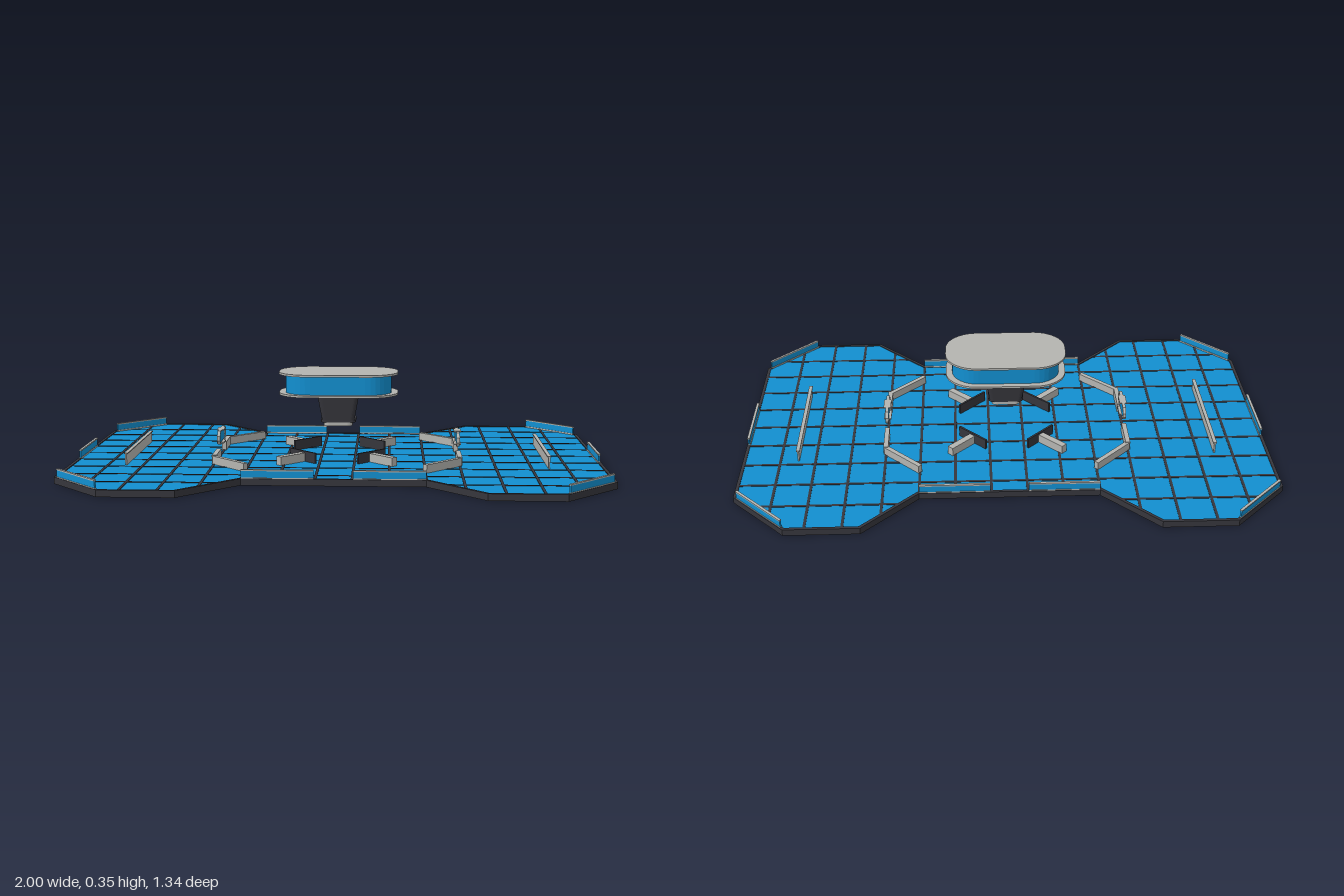
import * as THREE from 'three';

const mat = (name, color) => Object.assign(new THREE.MeshStandardMaterial({ color }), { name });

export function createModel() {
  const root = new THREE.Group();
  root.name = 'arena';
  const blue = mat('blue', 0x128fd0);
  const dark = mat('charcoal', 0x36363c);
  const grey = mat('grey', 0xb4b4b0);

  const add = (name, geo, material, parent = root) => {
    const mesh = new THREE.Mesh(geo, material);
    mesh.name = name;
    parent.add(mesh);
    return mesh;
  };
  // Upright beam between two floor points
  const beam = (name, [x1, z1], [x2, z2], y0, y1, width, material, parent = root) => {
    const dx = x2 - x1, dz = z2 - z1;
    const m = add(name, new THREE.BoxGeometry(Math.hypot(dx, dz), y1 - y0, width), material, parent);
    m.position.set((x1 + x2) / 2, (y0 + y1) / 2, (z1 + z2) / 2);
    m.rotation.y = -Math.atan2(dz, dx);
    return m;
  };
  // Horizontal slab from a shape
  const slab = (shape, y0, y1, curveSegments = 10) =>
    new THREE.ExtrudeGeometry(shape, { depth: y1 - y0, bevelEnabled: false, curveSegments })
      .rotateX(-Math.PI / 2).translate(0, y0, 0);
  const roundRect = (w, h, r) => {
    const s = new THREE.Shape();
    s.moveTo(w - r, -h);
    s.absarc(w - r, -h + r, r, -Math.PI / 2, 0);
    s.absarc(w - r, h - r, r, 0, Math.PI / 2);
    s.absarc(-w + r, h - r, r, Math.PI / 2, Math.PI);
    s.absarc(-w + r, -h + r, r, Math.PI, Math.PI * 1.5);
    s.closePath();
    return s;
  };

  // Floor outline: two clipped squares joined by a narrower middle
  const quarter = [[1, 0.47], [0.8, 0.67], [0.53, 0.67], [0.33, 0.47]];
  const outline = (d) => {
    const q = quarter.map(([x, z], i) => [i === 0 ? x - d : i === 3 ? x + d * 0.41 : x + (i === 1 ? -d * 0.41 : d * 0.41),
      z - (i === 0 ? d * 0.41 : d)]);
    q[3][0] = 0.33 + d * 0.41;
    const left = q.map(([x, z]) => [-x, z]).reverse();
    const top = [...q, ...left];
    return [...top, ...top.map(([x, z]) => [-x, -z])].map(([x, z]) => new THREE.Vector2(x, z));
  };
  add('floorTiles', slab(new THREE.Shape(outline(0.006)), 0.009, 0.022), blue);
  const rim = new THREE.Shape(outline(0));
  rim.holes.push(new THREE.Path(outline(0.012)));
  add('floorRim', slab(rim, 0, 0.025), dark);

  // Floor ribs, cut to the outline
  const step = 0.132, rw = 0.01;
  const reach = (x) => x < 0.33 ? 0.47 : x < 0.53 ? x + 0.14 : x < 0.8 ? 0.67 : 1.47 - x;
  for (let i = 0; i < 7; i++) {
    const x = (i + 0.5) * step, r = reach(x) - 0.006;
    for (const s of [-1, 1]) beam('floorRib', [s * x, -r], [s * x, r], 0.001, 0.0235, rw, dark);
  }
  for (let i = -4; i <= 4; i++) {
    const z = i * step, a = Math.abs(z);
    if (a < 0.47) beam('floorRib', [-0.994, z], [0.994, z], 0.001, 0.0235, rw, dark);
    else for (const s of [-1, 1]) beam('floorRib', [s * (a - 0.134), z], [s * (1.464 - a), z], 0.001, 0.0235, rw, dark);
  }

  // Low panels along the edge: blue sheet between grey rails
  const edgePanel = (a, b) => {
    const g = new THREE.Group();
    g.name = 'edgePanel';
    root.add(g);
    beam('panelSheet', a, b, 0.028, 0.052, 0.006, blue, g);
    beam('panelTopRail', a, b, 0.052, 0.057, 0.01, grey, g);
    beam('panelBottomRail', a, b, 0.022, 0.028, 0.01, grey, g);
  };
  for (const sx of [-1, 1]) {
    edgePanel([sx * 0.992, -0.13], [sx * 0.992, 0.13]);
    for (const sz of [-1, 1]) {
      edgePanel([sx * 0.985, sz * 0.475], [sx * 0.805, sz * 0.655]);
      edgePanel([sx * 0.07, sz * 0.463], [sx * 0.33, sz * 0.463]);
    }
  }

  for (const sx of [-1, 1]) {
    // Long end walls with a cap
    beam('endWall', [sx * 0.79, -0.24], [sx * 0.79, 0.24], 0.022, 0.064, 0.006, grey);
    beam('endWallCap', [sx * 0.79, -0.24], [sx * 0.79, 0.24], 0.064, 0.068, 0.014, grey);

    for (const sz of [-1, 1]) {
      // Bent inner walls
      beam('bentWallOuter', [sx * 0.328, sz * 0.332], [sx * 0.462, sz * 0.2], 0.022, 0.053, 0.018, grey);
      beam('bentWallInner', [sx * 0.462, sz * 0.206], [sx * 0.462, sz * 0.07], 0.022, 0.056, 0.018, grey);

      // Diagonal arms with a dark shield plate
      beam('centreArm', [sx * 0.13, sz * 0.13], [sx * 0.217, sz * 0.217], 0.022, 0.055, 0.026, grey);
      beam('shieldPlate', [sx * 0.08, sz * 0.18], [sx * 0.18, sz * 0.08], 0.022, 0.062, 0.008, dark);
    }

    // Gate: blue rounded sheet inside an eight-sided frame
    const gate = new THREE.Group();
    gate.name = 'gate';
    gate.position.set(sx * 0.462, 0.096, 0);
    root.add(gate);
    const oct = (w, h, c) => [[w, h - c], [w - c, h], [c - w, h], [-w, h - c], [-w, c - h], [c - w, -h], [w - c, -h], [w, c - h]]
      .map(([x, y]) => new THREE.Vector2(x, y));
    const ring = new THREE.Shape(oct(0.08, 0.027, 0.018));
    ring.holes.push(new THREE.Path(oct(0.075, 0.023, 0.016)));
    const upright = (shape, t) => new THREE.ExtrudeGeometry(shape, { depth: t, bevelEnabled: false, curveSegments: 4 })
      .translate(0, 0, -t / 2).rotateY(Math.PI / 2);
    add('gateFrame', upright(ring, 0.012), grey, gate);
    add('gateSheet', upright(roundRect(0.06, 0.02, 0.012), 0.008), blue, gate);
    for (const s of [-1, 1]) {
      add('gateClamp', new THREE.BoxGeometry(0.028, 0.005, 0.06), grey, gate).position.y = s * 0.025;
    }
  }

  // Hanging centre unit
  const hub = new THREE.Group();
  hub.name = 'hangingUnit';
  root.add(hub);
  add('upperPlate', slab(roundRect(0.23, 0.142, 0.12), 0.345, 0.353), grey, hub);
  add('lowerPlate', slab(roundRect(0.23, 0.142, 0.12), 0.266, 0.274), grey, hub);
  add('drum', slab(roundRect(0.205, 0.12, 0.1), 0.274, 0.345, 4), blue, hub);

  // Tapered neck
  const neck = slab(roundRect(0.08, 0.08, 0.02), 0.168, 0.266, 3);
  const p = neck.attributes.position;
  for (let i = 0; i < p.count; i++) {
    if (p.getY(i) < 0.2) p.setXYZ(i, p.getX(i) * 0.78, p.getY(i), p.getZ(i) * 0.86);
  }
  neck.computeVertexNormals();
  add('neck', neck, dark, hub);
  add('neckCollar', slab(roundRect(0.068, 0.064, 0.02), 0.16, 0.168, 3), dark, hub);
  add('neckFoot', slab(roundRect(0.055, 0.062, 0.02), 0.146, 0.16, 3), grey, hub);

  return root;
}
